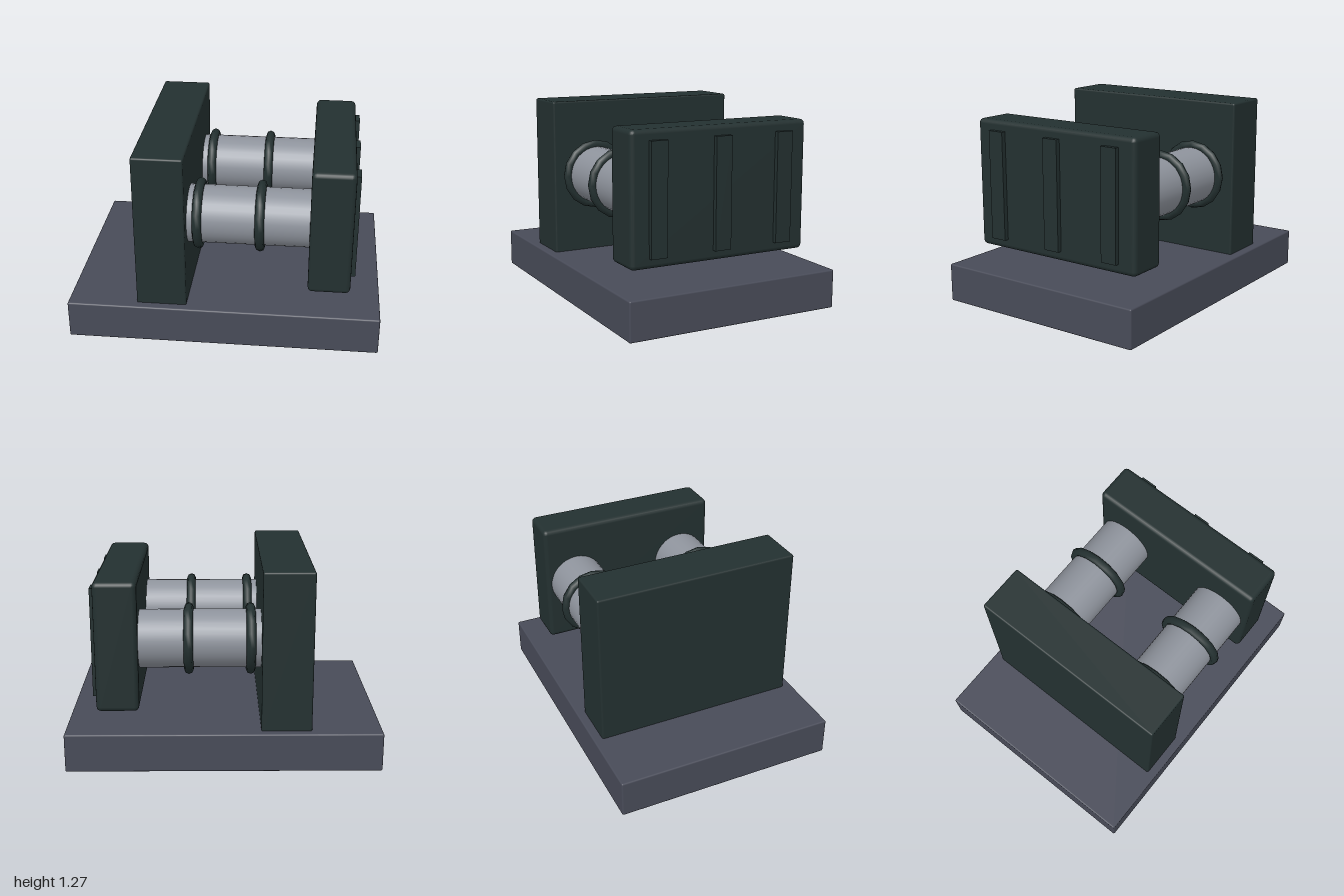
import * as THREE from 'three';
import { RoundedBoxGeometry } from 'three/addons/geometries/RoundedBoxGeometry.js';

export function createModel() {
  const model = new THREE.Group();
  model.name = 'bumperBlock';

  const material = (name, color) => {
    const m = new THREE.MeshStandardMaterial({ color });
    m.name = name;
    return m;
  };
  const slate = material('slate', 0x484b58);
  const darkGreen = material('dark green', 0x233030);
  const steel = material('steel', 0x8e939c);

  const add = (name, geometry, mat, x, y, z) => {
    const mesh = new THREE.Mesh(geometry, mat);
    mesh.name = name;
    mesh.position.set(x, y, z);
    model.add(mesh);
    return mesh;
  };
  const block = (w, h, d, bevel) => new RoundedBoxGeometry(w, h, d, 2, bevel);

  // Base slab, upright wall and front pad
  add('base', block(2, 0.25, 1.445, 0.01), slate, 0, 0.125, 0);
  add('wall', block(0.32, 1.03, 1.33, 0.012), darkGreen, -0.395, 0.755, 0);
  add('pad', block(0.27, 0.835, 1.23, 0.03), darkGreen, 0.67, 0.778, 0);

  // Raised ribs on the pad face
  for (const z of [-0.44, 0, 0.44]) {
    add('padRib', new THREE.BoxGeometry(0.05, 0.705, 0.11), darkGreen, 0.81, 0.778, z);
  }

  // Pistons with two collars each, one on either side
  const shaft = new THREE.CylinderGeometry(0.187, 0.187, 0.84, 32).rotateZ(Math.PI / 2);
  const collar = new THREE.TorusGeometry(0.2, 0.03, 8, 16).rotateY(Math.PI / 2);
  for (const z of [-0.395, 0.395]) {
    add('piston', shaft, steel, 0.15, 0.78, z);
    for (const x of [-0.17, 0.222]) add('collar', collar, darkGreen, x, 0.78, z);
  }

  return model;
}
